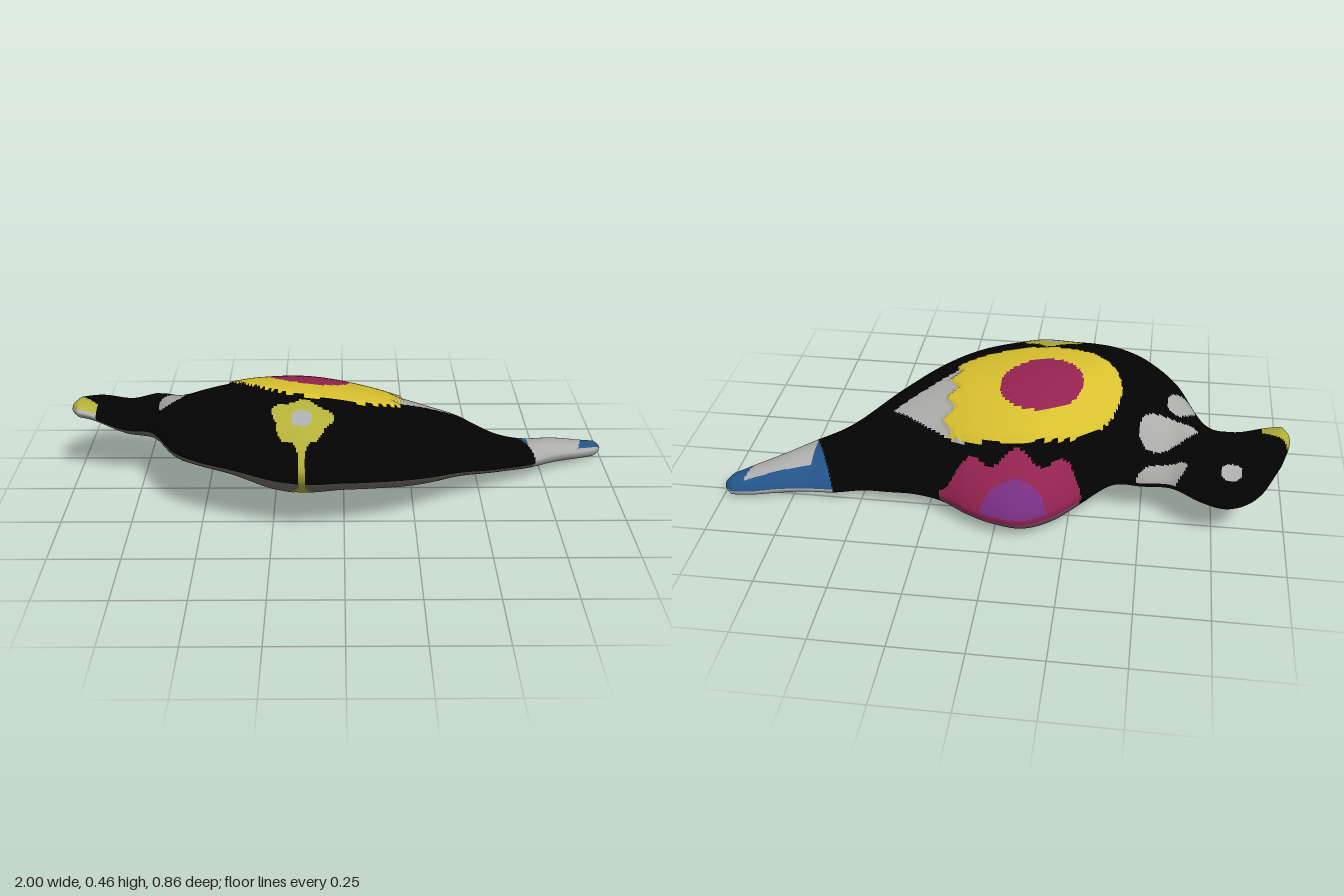
import * as THREE from 'three';

const NX = 350, NT = 200;     // grid along the body and around it
const TILT = 0.22;            // the body leans down towards its back edge

// Smooth value from evenly spaced samples, x from -1 to 1
const profile = (vals) => {
  const c = new THREE.SplineCurve(vals.map((v, i) => new THREE.Vector2(i, v)));
  return (x) => c.getPoint(Math.min(1, Math.max(0, (x + 1) / 2))).y;
};

// Silhouette seen from above: back edge and front edge, every 0.1
const backEdge = profile([-.17, -.33, -.36, -.33, -.26, -.25, -.24, -.31, -.385, -.43, -.42,
  -.38, -.32, -.29, -.28, -.265, -.27, -.27, -.285, -.3, -.3]);
const frontEdge = profile([-.04, -.03, -.02, 0, .2, .3, .345, .38, .405, .425, .41,
  .385, .34, .275, .19, .11, .035, -.03, -.11, -.17, -.23]);
// Height of the rim, rise of the dome and depth of the belly, every 0.2
const rimHeight = profile([.285, .21, .225, .22, .195, .185, .172, .13, .08, .06, .035]);
const domeRise = profile([.04, .07, .138, .225, .25, .23, .195, .15, .075, .05, .03]);
const bellyDepth = profile([.03, .055, .08, .09, .165, .145, .125, .075, .05, .045, .03]);

const inEllipse = (x, z, cx, cz, rx, rz) => ((x - cx) / rx) ** 2 + ((z - cz) / rz) ** 2 < 1;

// Yellow wing: oval with a toothed trailing end
const onWing = (x, z) => {
  const tooth = Math.abs((((z + 1) / 0.085) % 1) - 0.5) * 0.09;
  return inEllipse(x, z, -0.06, -0.048, 0.35, 0.215) && x < 0.17 + tooth;
};

// Point of the shell at x and angle a (0 front rim, PI/2 top, PI back rim)
function shellPoint(x, a) {
  const end = Math.min(1, Math.sqrt(Math.max(0, 1 - Math.abs(x)) / 0.03));
  const zb = backEdge(x), zf = frontEdge(x);
  const u = Math.cos(a), s = Math.sin(a), w = (zf - zb) / 2 * end;
  const z = (zf + zb) / 2 + w * u;
  const raised = s > 0 && onWing(x, z) ? 0.008 : 0;
  // the dome falls to the rim in nearly straight slopes, the belly curls round
  const bulge = s > 0 ? domeRise(x) * s ** 1.4 : bellyDepth(x) * s;
  return [x, rimHeight(x) + TILT * w * u + bulge * end + raised, z];
}

// Painted part on the tail: blue with a slanting white patch and a white lower side
function tailPart(x, z, u, s) {
  const patch = x > 0.69 && x < 0.92 - (z + 0.25) * 0.3 && z > -0.205 - (x - 0.69) * 0.3;
  const frontSide = x > 0.68 && u > 0.82;
  return s < 0.12 || patch || frontSide ? 'tailPatch' : 'tail';
}

// Name of the painted part at a place on the shell, or null for the open underside
function partAt(x, z, a) {
  const u = Math.cos(a), s = Math.sin(a);
  const open = u > 0 ? 0.83 : 0.86;
  if (s < 0 && Math.abs(x / 0.5) ** 3 + Math.abs(u / open) ** 3 < 1) return null;
  if (x > 0.6 + (z + 0.27) * 0.5) return tailPart(x, z, u, s);

  // back flower wraps over the back rim
  const petals = -0.3 + 0.02 * Math.cos((x + 0.07) * 38);
  if (u < 0 && x > -0.34 && x < 0.2 && z < petals) {
    if (s < -0.12) return 'backFlowerRim';
    const centre = s > 0.03 && inEllipse(x, z, -0.075, -0.42, 0.125, 0.06);
    return centre ? 'backFlowerCentre' : 'backFlower';
  }
  // front flower and its stem
  const fx = x + 0.143, fz = z - 0.272;
  if (u > 0) {
    if (s > 0 && Math.hypot(fx, fz) < 0.037) return 'frontFlowerCentre';
    const r = 1 + 0.1 * Math.cos(5 * Math.atan2(fz, fx) + 1);
    if (s > 0 && Math.hypot(fx / 0.1, fz / 0.084) < r) return 'frontFlower';
    const stem = 0.014 + Math.max(0, 0.11 - fz) * 0.6;
    if (s > -0.55 && fz > 0.07 && Math.abs(fx) < stem) return 'frontFlower';
  }
  // beak, pale along its front side
  if (x < -0.9 && z > -0.16 + (x + 1) * 0.7 && s > -0.6)
    return u > 0.55 && s < 0.4 ? 'beakSide' : 'beak';
  if (s < -0.29) return 'underside';
  if (s < 0) return 'body';

  // markings on the upper face
  if (inEllipse(x, z, -0.128, -0.05, 0.147, 0.115)) return 'wingSpot';
  if (onWing(x, z)) return 'wing';
  if (x > 0.12 && Math.abs(z + 0.065) < 0.125 * (0.41 - x) / 0.2) return 'wingTip';
  if (inEllipse(x, z, -0.8, -0.27, 0.037, 0.03)) return 'eye';
  const taper = 0.35 + (x + 0.68) * 4.5;
  if (inEllipse(x, z, -0.565, -0.248, 0.085, 0.024) ||
      inEllipse(x, z, -0.58, -0.145, 0.1, 0.06 * taper) ||
      inEllipse(x, z, -0.62, -0.03, 0.05, 0.055)) return 'neckFeathers';
  return 'body';
}

export function createModel() {
  const group = new THREE.Group();
  group.name = 'bird';

  const paint = (name, color) =>
    new THREE.MeshStandardMaterial({ name, color, side: THREE.DoubleSide });
  const black = paint('black', 0x030303), grey = paint('grey', 0x706e66);
  const white = paint('dull white', 0xacacaa), yellow = paint('yellow', 0xd8c02e);
  const olive = paint('olive yellow', 0xb4b03a), crimson = paint('crimson', 0x942350);
  const purple = paint('purple', 0x7a3085), blue = paint('blue', 0x235388);
  const pink = paint('dusty pink', 0x86506c);
  const materials = {
    body: black, underside: grey, tail: blue, tailPatch: white, eye: white,
    beak: olive, beakSide: white, neckFeathers: white,
    wing: yellow, wingSpot: crimson, wingTip: white,
    frontFlower: olive, frontFlowerCentre: white,
    backFlower: crimson, backFlowerCentre: purple, backFlowerRim: pink,
  };

  // One grid for the whole shell, its faces sorted into painted parts
  const position = [], all = [], faces = {};
  const xAt = (i) => -1 + 2 * i / NX;
  const angleAt = (j) => -Math.PI / 2 + 2 * Math.PI * j / NT;
  for (let i = 0; i <= NX; i++)
    for (let j = 0; j <= NT; j++) position.push(...shellPoint(xAt(i), angleAt(j)));
  for (let i = 0; i < NX; i++) {
    for (let j = 0; j < NT; j++) {
      const a = i * (NT + 1) + j, b = a + NT + 1;
      const quad = [a, b, a + 1, b, b + 1, a + 1];
      all.push(...quad);
      const x = xAt(i + 0.5), ang = angleAt(j + 0.5);
      const part = partAt(x, shellPoint(x, ang)[2], ang);
      if (part) (faces[part] ??= []).push(...quad);
    }
  }
  const shell = new THREE.BufferGeometry();
  shell.setAttribute('position', new THREE.Float32BufferAttribute(position, 3));
  shell.setIndex(all);
  shell.computeVertexNormals();

  for (const [name, index] of Object.entries(faces)) {
    const geometry = shell.clone();
    geometry.setIndex(index);
    const mesh = new THREE.Mesh(geometry.toNonIndexed(), materials[name]);
    mesh.name = name;
    group.add(mesh);
  }

  // Rest on the ground
  const low = new THREE.Box3().setFromObject(group).min.y;
  group.children.forEach((m) => m.geometry.translate(0, -low, 0));
  return group;
}
